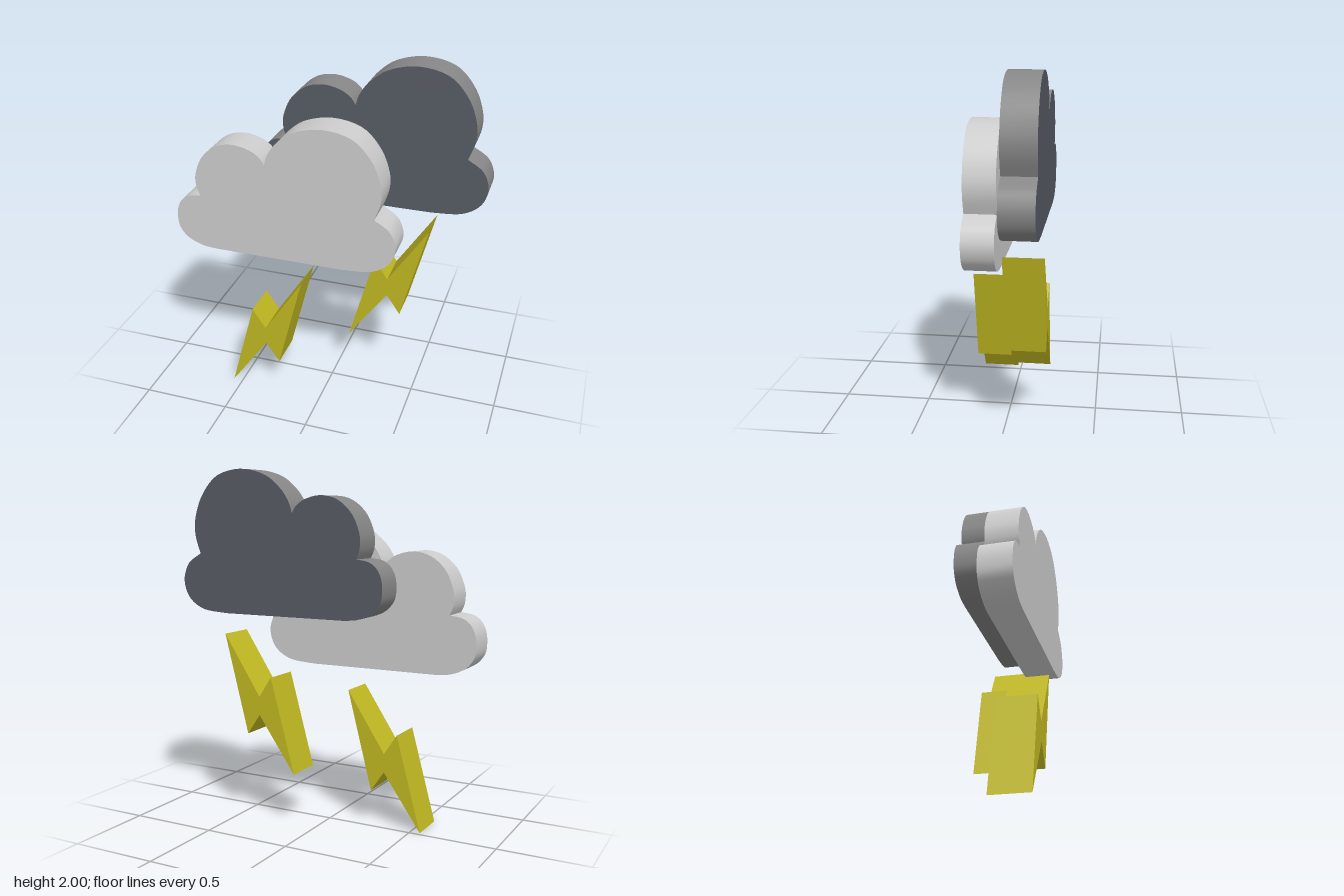
import * as THREE from 'three';
import { toCreasedNormals } from 'three/addons/utils/BufferGeometryUtils.js';

const flat = (name, color) => {
  const m = new THREE.MeshStandardMaterial({ color });
  m.name = name;
  return m;
};

// Each lobe is a smooth curve; lobes meet at sharp notches.
const LOBES = [
  // left puff
  [[-0.62, 0.9], [-0.71, 0.91], [-0.79, 0.945], [-0.837, 1.0], [-0.849, 1.06], [-0.842, 1.13], [-0.812, 1.185], [-0.765, 1.215], [-0.697, 1.225]],
  // upper left puff
  [[-0.697, 1.225], [-0.718, 1.28], [-0.716, 1.36], [-0.67, 1.463], [-0.585, 1.535], [-0.485, 1.557], [-0.39, 1.537], [-0.335, 1.5], [-0.31, 1.463]],
  // large puff
  [[-0.31, 1.463], [-0.29, 1.525], [-0.235, 1.6], [-0.135, 1.672], [0.02, 1.705], [0.178, 1.67], [0.28, 1.565], [0.33, 1.44], [0.333, 1.34], [0.3, 1.235]],
  // right puff
  [[0.3, 1.235], [0.378, 1.185], [0.413, 1.12], [0.418, 1.06], [0.395, 0.995], [0.345, 0.945], [0.265, 0.912], [0.12, 0.9]],
];

const BOLT = [[-0.108, 0.77], [-0.254, 0.204], [-0.333, 0.32], [-0.556, 0.003], [-0.41, 0.542], [-0.333, 0.426]];

const vec = ([x, y]) => new THREE.Vector2(x, y);

function cloudGeometry() {
  const shape = new THREE.Shape();
  shape.moveTo(...LOBES[0][0]);
  for (const lobe of LOBES) shape.splineThru(lobe.slice(1).map(vec));
  shape.closePath();
  const geo = new THREE.ExtrudeGeometry(shape, { depth: 0.179, bevelEnabled: false, curveSegments: 4 });
  return toCreasedNormals(geo, 0.6);
}

function boltGeometry() {
  return new THREE.ExtrudeGeometry(new THREE.Shape(BOLT.map(vec)), { depth: 0.217, bevelEnabled: false });
}

export function createModel() {
  const group = new THREE.Group();
  const lightGrey = flat('light grey', 0xcccccc);
  const slate = flat('slate', 0x575c64);
  const midGrey = flat('mid grey', 0x868686);
  const yellow = flat('yellow', 0xc0b822);

  const add = (name, geo, material, x, y, z) => {
    const mesh = new THREE.Mesh(geo, material);
    mesh.name = name;
    mesh.position.set(x, y, z);
    group.add(mesh);
  };

  // Clouds: flat faces first, rim second
  const cloud = cloudGeometry();
  add('frontCloud', cloud, [lightGrey, lightGrey], 0, 0, 0.038);
  add('rearCloud', cloud, [slate, midGrey], 0.425, 0.295, -0.218);

  // Lightning bolts
  const bolt = boltGeometry();
  add('frontBolt', bolt, yellow, 0, 0, 0.02);
  add('rearBolt', bolt, yellow, 0.656, 0.31, -0.238);

  return group;
}
